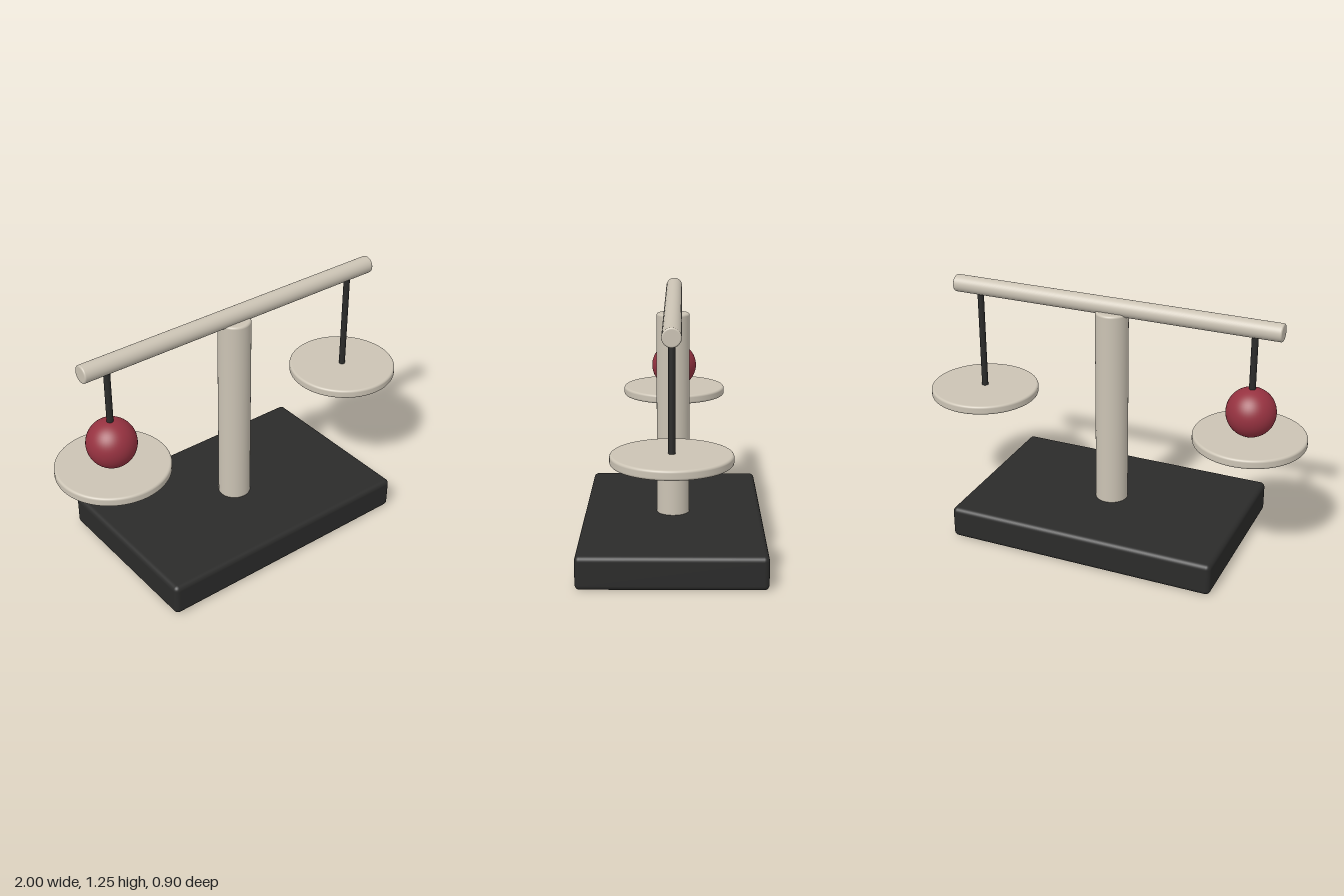
import * as THREE from 'three';
import { RoundedBoxGeometry } from 'three/addons/geometries/RoundedBoxGeometry.js';

const paint = (color) => new THREE.MeshStandardMaterial({ color });

// Solid cylinder, centred on the origin, with rounded rims
function roundedCylinder(radius, height, bevel, segments = 64) {
  const h = height / 2;
  const path = new THREE.Path();
  path.moveTo(0, -h);
  path.lineTo(radius - bevel, -h);
  path.absarc(radius - bevel, -h + bevel, bevel, -Math.PI / 2, 0, false);
  path.lineTo(radius, h - bevel);
  path.absarc(radius - bevel, h - bevel, bevel, 0, Math.PI / 2, false);
  path.lineTo(0, h);
  return new THREE.LatheGeometry(path.getPoints(5), segments);
}

export function createModel() {
  const model = new THREE.Group();
  model.name = 'balanceScale';
  const cream = paint(0xcbc3b4);
  const black = paint(0x2b2b2a);
  const red = paint(0x963240);

  const add = (name, geometry, material, x, y, parent = model) => {
    const mesh = new THREE.Mesh(geometry, material);
    mesh.name = name;
    mesh.position.set(x, y, 0);
    parent.add(mesh);
    return mesh;
  };

  // Base slab and upright post
  add('base', new RoundedBoxGeometry(1.39, 0.165, 0.9, 4, 0.025), black, 0, 0.0825);
  add('post', roundedCylinder(0.082, 1.035, 0.012), cream, 0, 0.6675);

  // Crossbeam lying along x
  const beam = add('beam', roundedCylinder(0.044, 1.715, 0.008, 48), cream, 0, 1.208);
  beam.rotation.z = Math.PI / 2;

  // A hanging rod and pan on each side
  for (const side of [-1, 1]) {
    const hanger = new THREE.Group();
    hanger.name = side > 0 ? 'leftHanger' : 'rightHanger';
    hanger.position.x = side * 0.722;
    model.add(hanger);
    add('rod', new THREE.CylinderGeometry(0.016, 0.016, 0.55, 24), black, 0, 0.925, hanger);
    add('pan', roundedCylinder(0.278, 0.046, 0.012, 96), cream, 0, 0.642, hanger);
  }

  // Ball resting on the right pan
  add('ball', new THREE.SphereGeometry(0.122, 48, 32), red, -0.722, 0.782);

  return model;
}
